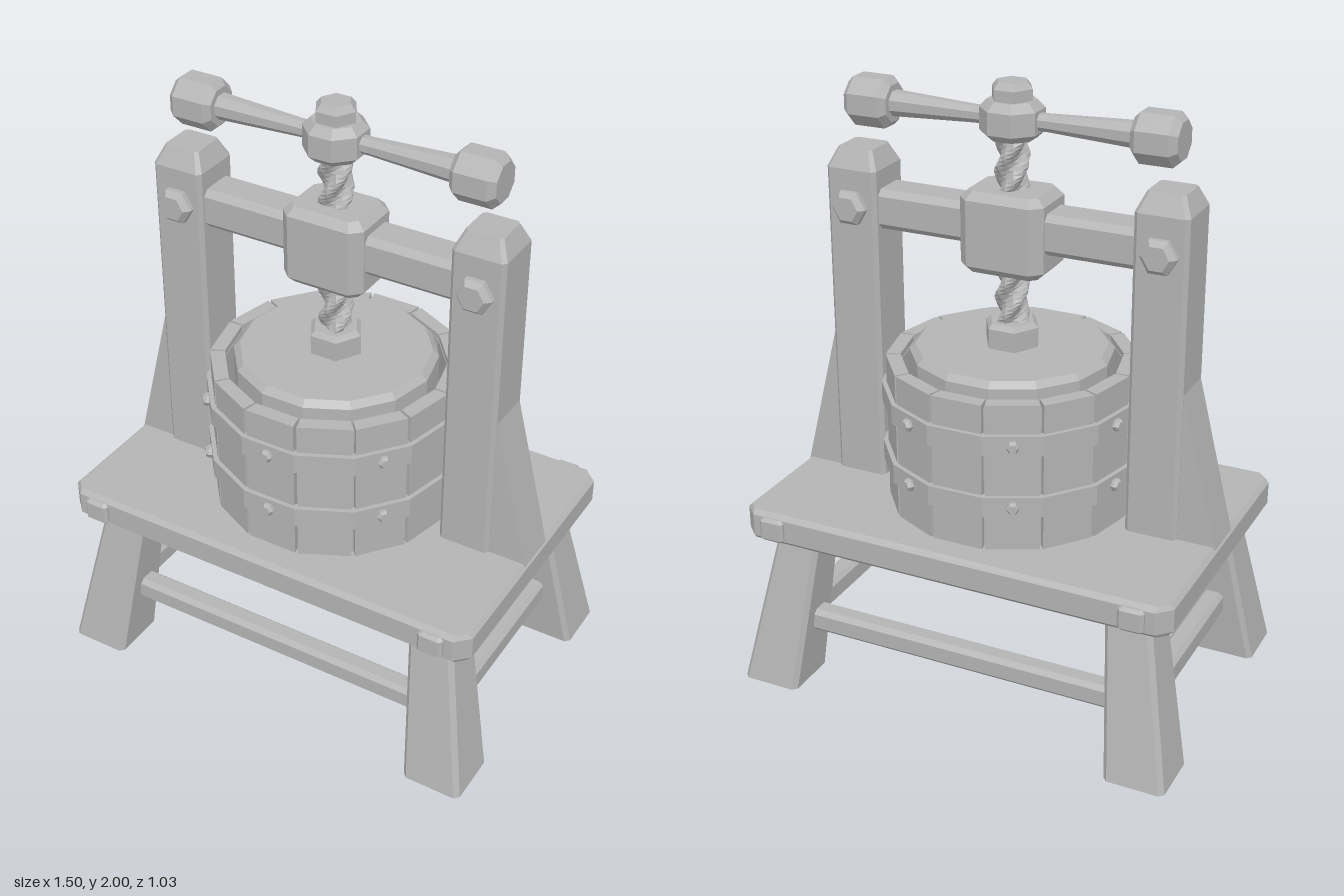
import * as THREE from 'three';
import { ConvexGeometry } from 'three/addons/geometries/ConvexGeometry.js';

export function createModel() {
  const model = new THREE.Group();
  model.name = 'fruitPress';
  const grey = new THREE.MeshStandardMaterial({ color: 0xb4b4b4 });
  grey.name = 'plain grey';

  const add = (name, geo, x = 0, y = 0, z = 0, parent = model) => {
    const mesh = new THREE.Mesh(geo, grey);
    mesh.name = name;
    mesh.position.set(x, y, z);
    parent.add(mesh);
    return mesh;
  };
  const flat = (geo) => {
    const g = geo.index ? geo.toNonIndexed() : geo;
    g.computeVertexNormals();
    return g;
  };
  // Convex solid through corner-cut rectangles: [y, cx, cz, halfX, halfZ, cut]
  const loft = (sections) => {
    const pts = [];
    for (const [y, cx, cz, hx, hz, c] of sections)
      for (const sx of [-1, 1]) for (const sz of [-1, 1]) {
        pts.push(new THREE.Vector3(cx + sx * hx, y, cz + sz * (hz - c)));
        pts.push(new THREE.Vector3(cx + sx * (hx - c), y, cz + sz * hz));
      }
    return new ConvexGeometry(pts);
  };
  // Box with all edges chamfered
  const bevelBox = (w, h, d, b, c = b) => loft([
    [-h / 2, 0, 0, w / 2 - b, d / 2 - b, c * 0.6],
    [-h / 2 + b, 0, 0, w / 2, d / 2, c],
    [h / 2 - b, 0, 0, w / 2, d / 2, c],
    [h / 2, 0, 0, w / 2 - b, d / 2 - b, c * 0.6],
  ]);
  // Faceted turned solid from [radius, y] pairs, bottom to top
  const turned = (profile, sides, start = 0) => flat(new THREE.LatheGeometry(
    profile.map(([r, y]) => new THREE.Vector2(r, y)), sides, start));
  const bolt = (r, len, sides = 6) => turned(
    [[0, 0], [r, 0], [r, len * 0.6], [r * 0.7, len], [0, len]], sides, Math.PI / 2);

  // Table
  add('tableTop', bevelBox(1.47, 0.105, 0.97, 0.015, 0.045), 0, 0.58, 0);
  for (const sx of [-1, 1]) for (const sz of [-1, 1]) {
    add('cornerPeg', bevelBox(0.085, 0.08, 0.05, 0.01), sx * 0.618, 0.58, sz * 0.478);
    add('leg', loft([
      [0, sx * 0.65, sz * 0.415, 0.1, 0.1, 0.015],
      [0.54, sx * 0.573, sz * 0.335, 0.075, 0.072, 0.015],
    ]));
  }
  for (const s of [-1, 1]) {
    add('longStretcher', bevelBox(1.2, 0.08, 0.075, 0.015), 0, 0.22, s * 0.375);
    add('sideStretcher', bevelBox(0.075, 0.085, 0.72, 0.015), s * 0.61, 0.205, 0);
  }

  // Uprights with braces and bolts
  const braceShape = new THREE.Shape([[0.58, 0.62], [0.73, 0.62], [0.6, 1.14], [0.58, 1.14]]
    .map(([x, y]) => new THREE.Vector2(x, y)));
  for (const s of [-1, 1]) {
    add('post', loft([
      [0.62, s * 0.517, 0, 0.087, 0.09, 0.013],
      [1.68, s * 0.517, 0, 0.087, 0.09, 0.013],
      [1.74, s * 0.517, 0, 0.06, 0.06, 0.01],
    ]));
    const brace = add('brace', new THREE.ExtrudeGeometry(braceShape,
      { depth: 0.15, bevelEnabled: false }), 0, 0, s * -0.075);
    if (s < 0) brace.rotation.y = Math.PI;
    for (const f of [-1, 1])
      add('postBolt', bolt(0.06, 0.045), s * 0.517, 1.56, f * 0.08).rotation.x = f * Math.PI / 2;
  }

  // Crossbeam and threaded block
  add('crossbeam', loft([
    [1.49, 0, 0, 0.45, 0.05, 0.001], [1.51, 0, 0, 0.45, 0.07, 0.001],
    [1.6, 0, 0, 0.45, 0.07, 0.001], [1.62, 0, 0, 0.45, 0.05, 0.001],
  ]));
  add('screwBlock', bevelBox(0.28, 0.26, 0.22, 0.025, 0.035), 0, 1.54, 0);

  // Screw: a lobed bar twisted along its length
  const screwGeo = new THREE.CylinderGeometry(1, 1, 0.7, 12, 56);
  const p = screwGeo.attributes.position;
  for (let i = 0; i < p.count; i++) {
    const x = p.getX(i), z = p.getZ(i);
    if (Math.hypot(x, z) < 0.5) continue;
    const a = Math.atan2(x, z);
    const r = 0.045 + 0.011 * Math.cos(3 * a - p.getY(i) * 62);
    p.setXYZ(i, r * Math.sin(a), p.getY(i), r * Math.cos(a));
  }
  add('screw', flat(screwGeo), 0, 1.52, 0);
  add('screwFoot', turned([[0, 1.12], [0.09, 1.12], [0.09, 1.225], [0.075, 1.24], [0, 1.24]],
    6, Math.PI / 2));

  // Handle
  const handle = new THREE.Group();
  handle.name = 'handle';
  handle.position.y = 1.885;
  model.add(handle);
  add('hub', turned([[0, -0.058], [0.075, -0.058], [0.1, -0.035], [0.1, 0.035],
    [0.075, 0.06], [0, 0.06]], 8, Math.PI / 8), 0, 0, 0, handle);
  add('topNut', turned([[0, 0.05], [0.067, 0.05], [0.067, 0.095], [0.05, 0.115], [0, 0.115]],
    6, Math.PI / 2), 0, 0, 0, handle);
  for (const s of [-1, 1]) {
    const arm = turned([[0, 0.05], [0.028, 0.05], [0.028, 0.12], [0.042, 0.41], [0, 0.41]],
      8, Math.PI / 8);
    const grip = turned([[0, 0.4], [0.062, 0.4], [0.083, 0.42], [0.083, 0.525],
      [0.062, 0.547], [0, 0.547]], 8, Math.PI / 8);
    add('handleArm', arm, 0, 0, 0, handle).rotation.z = -s * Math.PI / 2;
    add('handleGrip', grip, 0, 0, 0, handle).rotation.z = -s * Math.PI / 2;
  }

  // Basket of staves around a lining
  const N = 14, step = 2 * Math.PI / N, half = step / 2;
  add('basketLining', turned([[0.352, 1.1], [0.352, 0.63], [0.375, 0.63], [0.375, 1.1],
    [0.352, 1.1]], N, half));
  const stave = new THREE.ExtrudeGeometry(new THREE.Shape([
    [-0.075, -0.345], [-0.084, -0.391], [0.084, -0.391], [0.075, -0.345],
  ].map(([x, y]) => new THREE.Vector2(x, y))), { depth: 0.5, bevelEnabled: false });
  stave.rotateX(-Math.PI / 2);
  for (let i = 0; i < N; i++) add('stave', stave, 0, 0.62, 0).rotation.y = i * step;

  // Hoops and their rivets
  for (const y of [0.787, 0.993]) {
    add('hoop', turned([[0.39, -0.033], [0.416, -0.033], [0.416, 0.033], [0.39, 0.033],
      [0.39, -0.033]], N, half), 0, y, 0);
    for (let i = 0; i < 7; i++) {
      const holder = new THREE.Group();
      holder.name = 'hoopRivet';
      holder.rotation.y = i * 2 * step;
      model.add(holder);
      add('rivetHead', bolt(0.021, 0.025), 0, y, 0.4, holder).rotation.x = Math.PI / 2;
    }
  }

  // Pressing plate
  add('pressPlate', turned([[0, 1.02], [0.325, 1.02], [0.325, 1.14], [0.305, 1.16], [0, 1.16]],
    N, half));
  return model;
}
